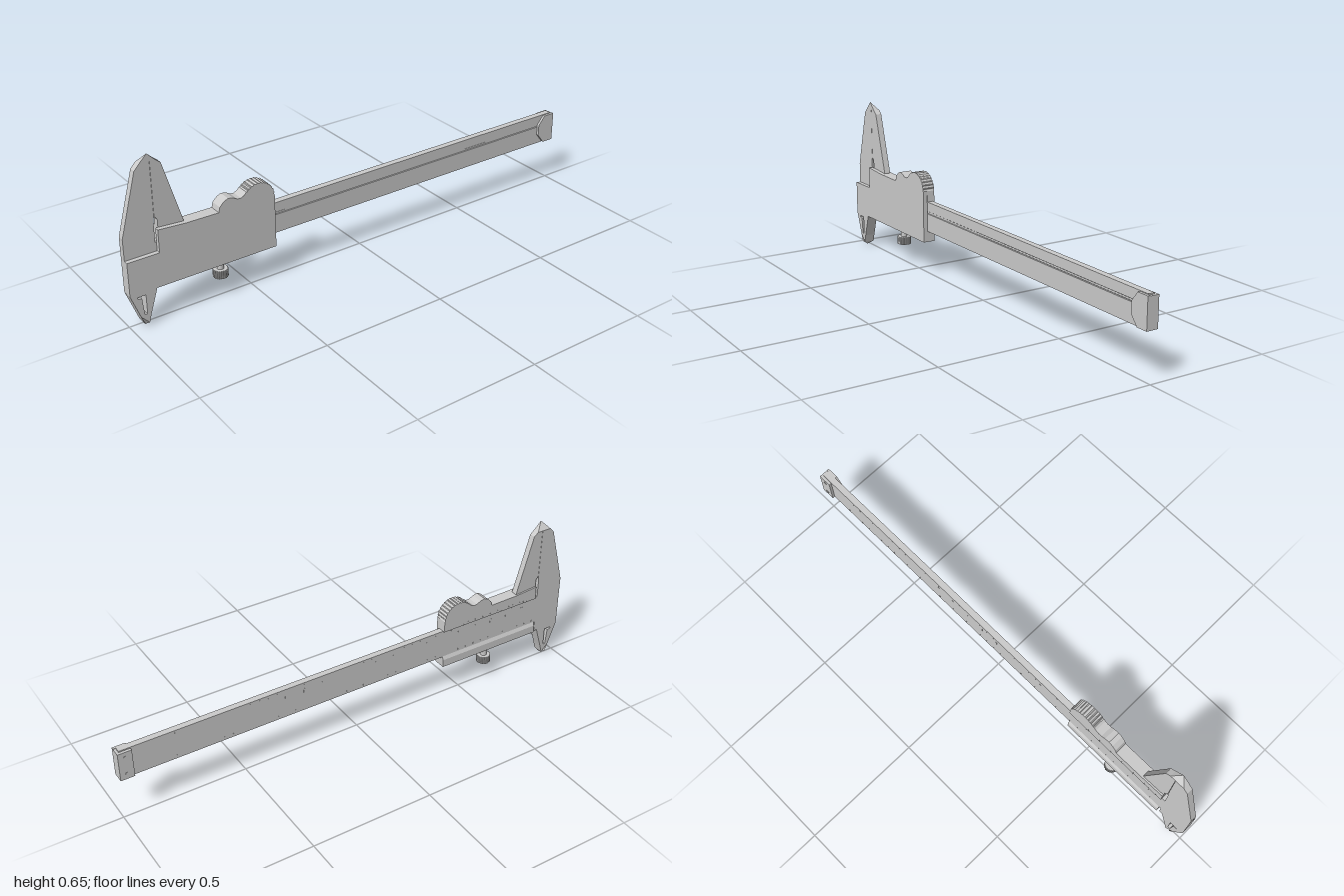
import * as THREE from 'three';
import { mergeGeometries } from 'three/addons/utils/BufferGeometryUtils.js';

const grey = new THREE.MeshStandardMaterial({ color: 0xcccccc, flatShading: true });
const toShape = (pts) => new THREE.Shape(pts.map(([x, y]) => new THREE.Vector2(x, y)));

// Plate drawn in x/y, running from z0 to z1
function plate(pts, z0, z1, hole) {
  const shape = toShape(pts);
  if (hole) shape.holes.push(new THREE.Path(hole.map(([x, y]) => new THREE.Vector2(x, y))));
  const geo = new THREE.ExtrudeGeometry(shape, { depth: z1 - z0, bevelEnabled: false });
  return geo.translate(0, 0, z0);
}

// Bar with a [z, y] cross-section, running from x0 to x1
function bar(section, x0, x1) {
  const shape = toShape(section.map(([z, y]) => [-z, y]));
  const geo = new THREE.ExtrudeGeometry(shape, { depth: x1 - x0, bevelEnabled: false });
  return geo.rotateY(Math.PI / 2).translate(x0, 0, 0);
}

// Plate whose corners at height y collapse to depth z, giving a ground point
function tip(pts, z0, z1, y, z) {
  const geo = plate(pts, z0, z1);
  const p = geo.attributes.position;
  for (let i = 0; i < p.count; i++) if (Math.abs(p.getY(i) - y) < 1e-4) p.setZ(i, z);
  geo.computeVertexNormals();
  return geo;
}

function box(x0, x1, y0, y1, z0, z1) {
  return new THREE.BoxGeometry(x1 - x0, y1 - y0, z1 - z0)
    .translate((x0 + x1) / 2, (y0 + y1) / 2, (z0 + z1) / 2);
}

// Toothed wheel about a vertical axis
function knurledWheel(r, y0, y1, teeth) {
  const pts = [];
  for (let i = 0; i < teeth * 4; i++) {
    const a = (i / (teeth * 4)) * Math.PI * 2;
    const rr = i % 4 < 2 ? r : r * 0.92;
    pts.push([rr * Math.cos(a), rr * Math.sin(a)]);
  }
  return plate(pts, y0, y1).rotateX(-Math.PI / 2);
}

export function createModel() {
  const model = new THREE.Group();
  const add = (name, geo) => {
    const mesh = new THREE.Mesh(geo, grey);
    mesh.name = name;
    model.add(mesh);
  };
  const T = 0.013; // half thickness of beam and jaws
  const F = 0.031; // slider front
  const B = -0.02; // slider back

  // Beam with a rod channel along its front
  add('beam', bar([
    [-T, 0.185], [T, 0.185], [T, 0.26], [0.007, 0.26], [0.007, 0.271], [T, 0.271], [T, 0.31], [-T, 0.31],
  ], -0.88, 0.99));
  add('depthRod', box(-0.4, 0.995, 0.262, 0.269, 0.006, 0.01));

  // Fixed jaw, with the back layer of the small inside jaws
  const slit = [[-0.972, 0.128], [-0.94, 0.128], [-0.94, 0.05], [-0.95, 0.05], [-0.956, 0.118], [-0.972, 0.121]];
  add('fixedJaw', plate([
    [-1, 0.14], [-0.965, 0.045], [-0.925, 0.045], [-0.895, 0.14], [-0.88, 0.14], [-0.88, 0.395],
    [-0.877, 0.41], [-0.877, 0.62], [-0.916, 0.62], [-0.935, 0.6], [-1, 0.36],
  ], -T, T, slit));

  // Sliding jaw
  add('slidingJaw', plate([
    [-0.865, 0.305], [-0.765, 0.305], [-0.765, 0.36], [-0.835, 0.605], [-0.853, 0.62],
    [-0.876, 0.62], [-0.876, 0.41], [-0.865, 0.395],
  ], -T, T));

  // Jaw points, ground from the back
  add('outsideJawTip', tip([[-0.916, 0.62], [-0.853, 0.62], [-0.885, 0.652]], -T, T, 0.652, T));
  const low = [[-0.965, 0.045], [-0.953, 0.012], [-0.943, 0], [-0.934, 0.012], [-0.925, 0.045]];
  add('insideJawTipBack', tip(low, -T, T, 0, T));
  add('insideJawTipFront', tip(low, T, F, 0, T));

  // Slider top edge: finger rest, then ribbed thumb grip
  const topEdge = [
    [-0.765, 0.357], [-0.635, 0.355], [-0.63, 0.375], [-0.613, 0.392], [-0.595, 0.4],
    [-0.575, 0.396], [-0.558, 0.386], [-0.543, 0.385], [-0.53, 0.391],
  ];
  const ribs = 48;
  for (let i = 0; i <= ribs; i++) {
    const a = THREE.MathUtils.degToRad(140 * (1 - i / ribs));
    const r = i % 4 < 2 ? 0.068 : 0.0655;
    topEdge.push([-0.47 + r * Math.cos(a), 0.355 + r * Math.sin(a)]);
  }
  add('sliderFrontPlate', plate([
    [-1, 0.275], [-1, 0.14], [-0.965, 0.045], [-0.925, 0.045], [-0.895, 0.14], [-0.402, 0.14],
    ...topEdge.slice().reverse(), [-0.875, 0.365], [-0.875, 0.275],
  ], T, F, slit));
  add('sliderTopRail', plate([
    [-0.4, 0.308], ...topEdge.slice().reverse(), [-0.865, 0.365], [-0.865, 0.308],
  ], B, T));
  add('sliderBottomRail', bar([
    [T, 0.14], [B, 0.14], [B, 0.173], [-T, 0.187], [T, 0.187],
  ], -0.872, -0.402));

  // Locking screw under the slider
  const screw = new THREE.Group();
  screw.name = 'lockingScrew';
  const knob = new THREE.Mesh(knurledWheel(0.029, 0.078, 0.11, 24), grey);
  knob.name = 'lockingKnob';
  const stem = new THREE.Mesh(new THREE.CylinderGeometry(0.013, 0.013, 0.04, 20).translate(0, 0.125, 0), grey);
  stem.name = 'lockingStem';
  screw.add(knob, stem);
  screw.position.x = -0.625;
  model.add(screw);

  // End stop: clipped front cap, rear cap and screws
  add('endCapFront', plate([
    [0.92, 0.225], [0.95, 0.187], [1, 0.187], [1, 0.307], [0.95, 0.307], [0.92, 0.27],
  ], T, 0.023));
  add('endCapBack', box(0.945, 1, 0.187, 0.305, -0.024, -T));
  add('endPlate', box(0.99, 1, 0.187, 0.305, -T, T));
  add('endScrews', mergeGeometries([0.21, 0.282].map((y) =>
    new THREE.CylinderGeometry(0.007, 0.007, 0.002, 16).rotateX(Math.PI / 2).translate(0.972, y, -0.0245))));

  // Graduations along the back of the beam
  const ticks = [];
  const tick = (x, y, w, h) => ticks.push(box(x - w / 2, x + w / 2, y - h / 2, y + h / 2, -0.0136, -0.012));
  for (let i = 0; i < 46; i++) {
    const x = -0.86 + i * 0.038;
    tick(x, 0.197, 0.003, 0.006);
    tick(x, 0.3, 0.003, 0.006);
  }
  for (let i = 0; i < 15; i++) tick(-0.8 + i * 0.08, 0.275, 0.008, 0.018);
  add('graduations', mergeGeometries(ticks));

  // Fine scale on the slider's rear top rail
  const fine = [];
  for (let i = 0; i < 21; i++) {
    const x = -0.84 + i * 0.019;
    fine.push(box(x - 0.0015, x + 0.0015, 0.311, 0.32, B - 0.0006, B + 0.001));
  }
  add('sliderScale', mergeGeometries(fine));

  return model;
}
